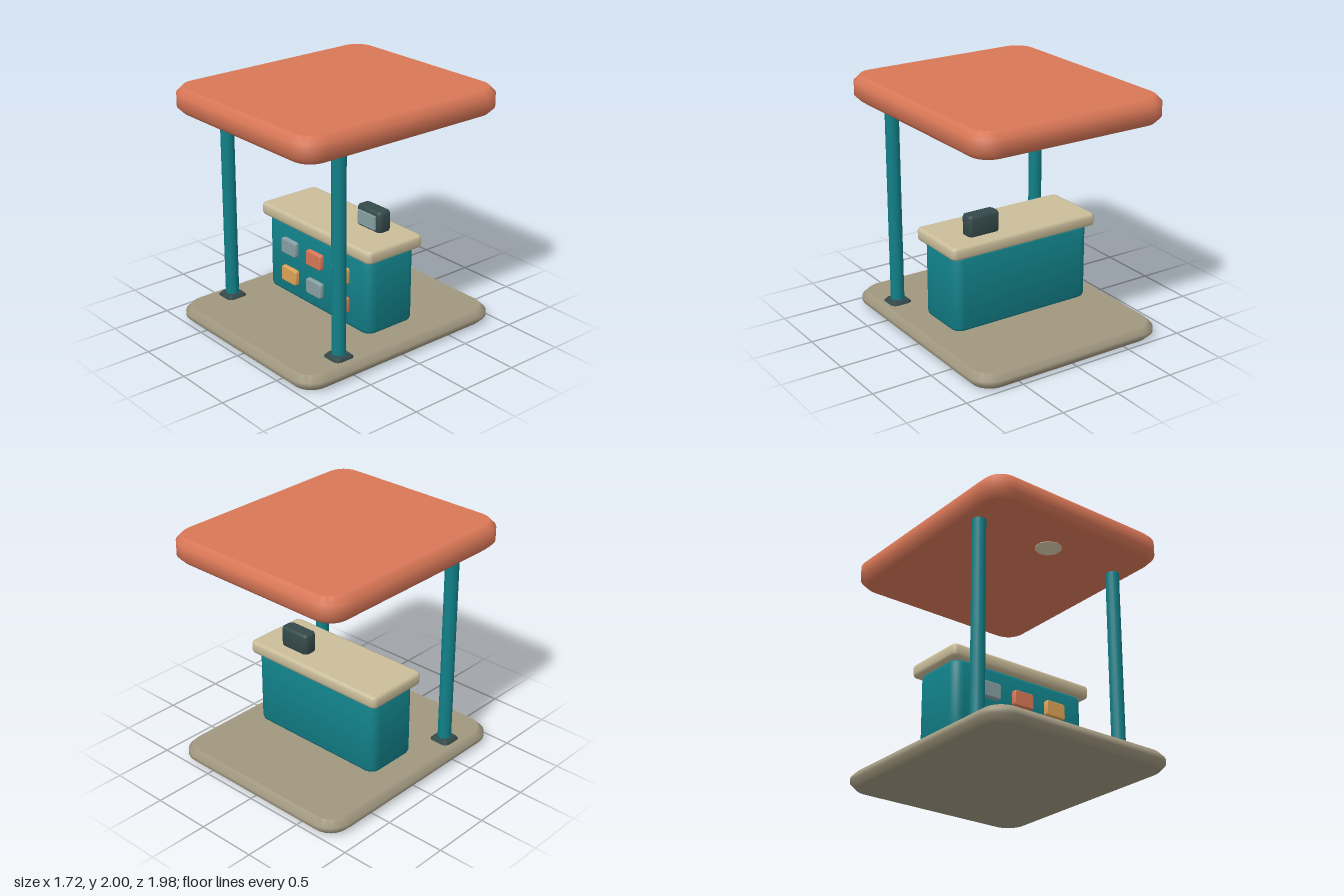
import * as THREE from 'three';
import { toCreasedNormals } from 'three/addons/utils/BufferGeometryUtils.js';

const mat = (name, color) => {
  const m = new THREE.MeshStandardMaterial({ color });
  m.name = name;
  return m;
};

// Rounded slab with chamfered rims: w along x, d along z, h along y, centred
function slabGeometry(w, h, d, radius, bevel, segments = 1) {
  const x = w / 2 - bevel, y = d / 2 - bevel, r = Math.max(radius - bevel, 0.005);
  const shape = new THREE.Shape();
  shape.absarc(x - r, y - r, r, 0, Math.PI / 2);
  shape.absarc(-x + r, y - r, r, Math.PI / 2, Math.PI);
  shape.absarc(-x + r, -y + r, r, Math.PI, Math.PI * 1.5);
  shape.absarc(x - r, -y + r, r, Math.PI * 1.5, Math.PI * 2);
  shape.closePath();
  let geo = new THREE.ExtrudeGeometry(shape, {
    depth: h - 2 * bevel, bevelEnabled: true, bevelSize: bevel,
    bevelThickness: bevel, bevelSegments: segments, curveSegments: 4,
  });
  geo.translate(0, 0, -(h - 2 * bevel) / 2);
  // Smooth the rim, keep the two large faces flat
  geo = toCreasedNormals(geo, 1);
  const caps = geo.groups[0], pos = geo.attributes.position;
  for (let i = caps.start; i < caps.start + caps.count; i++) {
    geo.attributes.normal.setXYZ(i, 0, 0, Math.sign(pos.getZ(i)));
  }
  geo.clearGroups();
  return geo.rotateX(-Math.PI / 2);
}

export function createModel() {
  const coral = mat('coral', 0xd97757);
  const teal = mat('teal', 0x118088);
  const sand = mat('sand', 0xcabd9a);
  const stone = mat('stone', 0xa0977f);
  const charcoal = mat('charcoal', 0x34494a);
  const glass = mat('greyBlue', 0x86a0a3);
  const amber = mat('amber', 0xdca356);
  const cream = mat('cream', 0xdccfae);

  const model = new THREE.Group();
  model.name = 'kiosk';
  const add = (name, geo, material, x, y, z) => {
    const mesh = new THREE.Mesh(geo, material);
    mesh.name = name;
    mesh.position.set(x, y, z);
    model.add(mesh);
    return mesh;
  };

  // Floor and canopy
  add('floor', slabGeometry(1.72, 0.128, 1.98, 0.2, 0.048), stone, 0, 0.064, 0);
  add('canopy', slabGeometry(1.72, 0.21, 1.97, 0.2, 0.05), coral, 0, 1.895, 0);
  add('ceilingLamp', new THREE.CylinderGeometry(0.11, 0.11, 0.02, 10), cream, 0, 1.796, 0.55);

  // Front posts with foot plates
  for (const side of [-1, 1]) {
    const name = side > 0 ? 'left' : 'right';
    add(name + 'Post', new THREE.CylinderGeometry(0.056, 0.056, 1.8, 16), teal, side * 0.687, 0.91, 0.547);
    add(name + 'PostFoot', slabGeometry(0.19, 0.07, 0.19, 0.05, 0.03), charcoal, side * 0.687, 0.121, 0.547);
  }

  // Counter
  add('counterBody', slabGeometry(1.27, 0.635, 0.49, 0.085, 0.03, 2), teal, 0, 0.4675, -0.04);
  add('counterTop', slabGeometry(1.35, 0.105, 0.565, 0.045, 0.025, 2), sand, 0, 0.8325, -0.04);

  // Coloured tiles on the counter front
  const tileGeo = slabGeometry(0.185, 0.06, 0.13, 0.02, 0.01, 2).rotateX(Math.PI / 2);
  const rows = [[glass, coral, amber], [amber, glass, coral]];
  rows.forEach((row, j) => row.forEach((material, i) => {
    add('frontTile', tileGeo, material, (i - 1) * 0.319, 0.59 - j * 0.25, 0.213);
  }));

  // Till with its screen
  add('till', slabGeometry(0.283, 0.185, 0.13, 0.04, 0.025, 2), charcoal, 0.306, 0.9625, -0.131);
  add('tillScreen', new THREE.BoxGeometry(0.2, 0.115, 0.03), glass, 0.306, 0.962, -0.066);

  return model;
}
